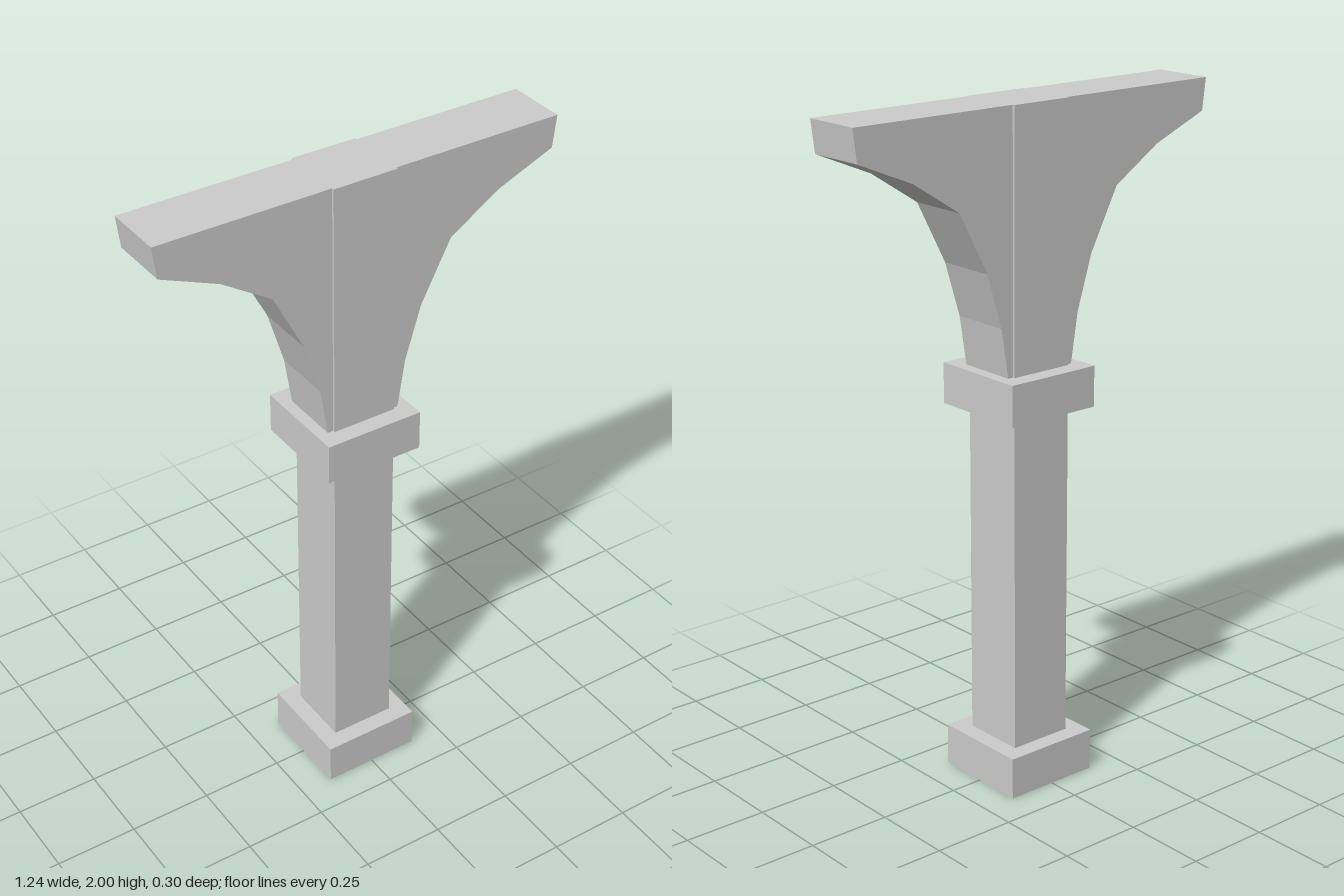
import * as THREE from 'three';

const material = new THREE.MeshStandardMaterial({ color: 0xcccccc, flatShading: true });

// Square block centred on the vertical axis, from y0 to y1
function squareBlock(name, width, y0, y1) {
  const mesh = new THREE.Mesh(new THREE.BoxGeometry(width, y1 - y0, width), material);
  mesh.name = name;
  mesh.position.y = (y0 + y1) / 2;
  return mesh;
}

export function createModel() {
  const group = new THREE.Group();
  group.name = 'bracketedPost';

  group.add(
    squareBlock('base', 0.3, 0, 0.125),
    squareBlock('post', 0.196, 0.125, 2),
    squareBlock('collar', 0.3, 1.13, 1.25),
  );

  // Curved brackets: faceted arc rising from the collar to the beam end
  const profile = [
    [0.115, 1.25], [0.138, 1.395], [0.187, 1.555], [0.28, 1.735],
    [0.432, 1.833], [0.607, 1.906], [0.619, 2],
  ];
  const depth = 0.182;
  for (const side of [1, -1]) {
    const outline = [[0, 1.25], ...profile, [0, 2]];
    const shape = new THREE.Shape(outline.map(([x, y]) => new THREE.Vector2(side * x, y)));
    const geometry = new THREE.ExtrudeGeometry(shape, { depth, bevelEnabled: false });
    geometry.translate(0, 0, -depth / 2);
    const bracket = new THREE.Mesh(geometry, material);
    bracket.name = side > 0 ? 'leftBracket' : 'rightBracket';
    group.add(bracket);
  }

  return group;
}
